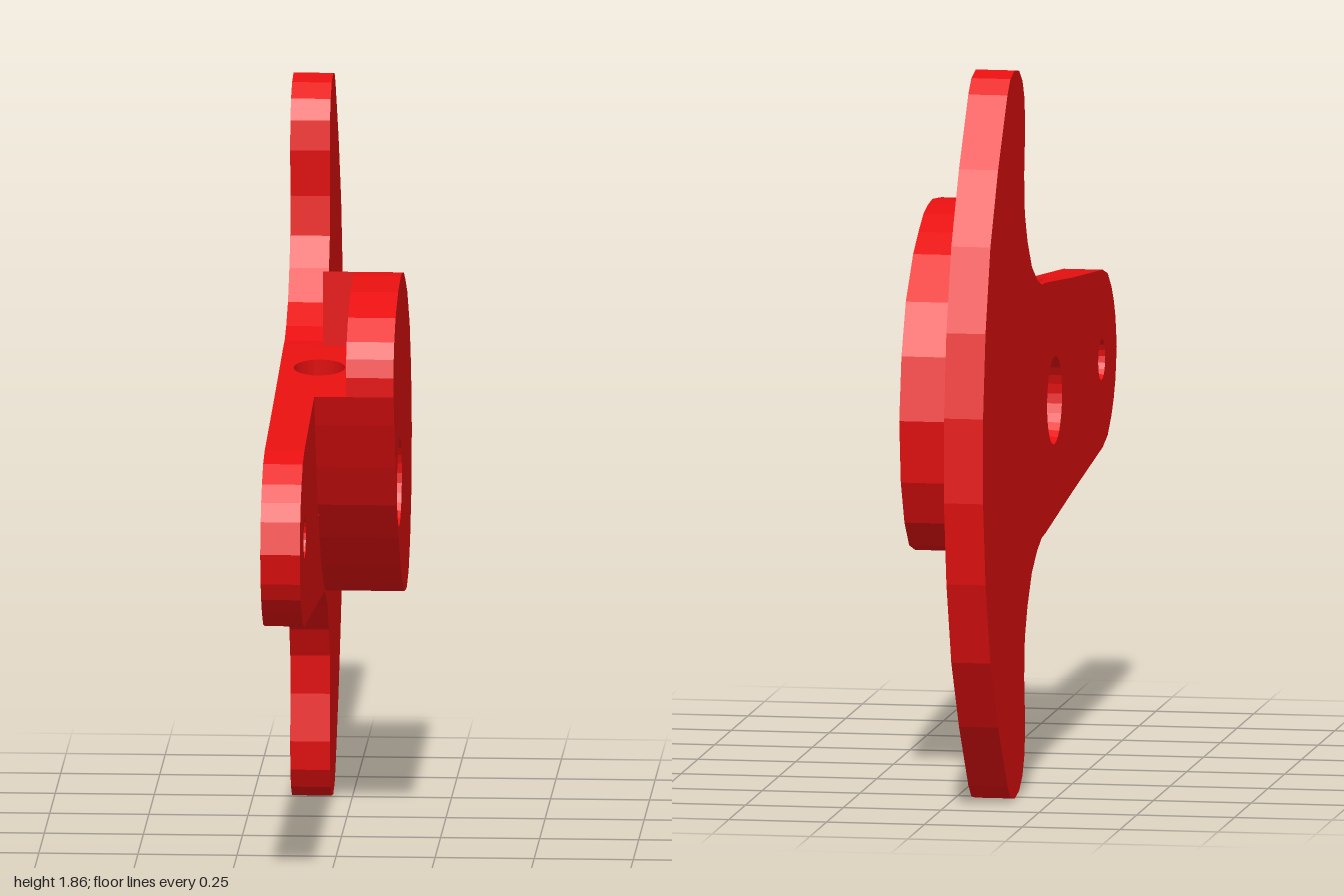
import * as THREE from 'three';
import { mergeGeometries } from 'three/addons/utils/BufferGeometryUtils.js';

const MID = 0.9275;                        // height of the symmetry line
const PLATE_BACK = -0.15, PLATE_FRONT = -0.05, NOTCH_FRONT = 0.03, CAM_FRONT = 0.15;
const BORE_R = 0.112, SCREW_R = 0.065;

// Profiles are given as (z, y); they are drawn at (-z, y) and turned to face +x at the end.
const P = (z, y) => new THREE.Vector2(-z, y);
const floorA = P(0.34, 1.2), floorB = P(-0.07, 1.247);   // ends of the flat under the notch
const bore = P(0.07, MID), pin = P(0.775, MID);

const ccw = pts => (THREE.ShapeUtils.isClockWise(pts) ? pts.slice().reverse() : pts);

function circle(c, r, n = 28) {
  return Array.from({ length: n }, (_, i) => {
    const a = (i / n) * Math.PI * 2;
    return new THREE.Vector2(c.x + r * Math.cos(a), c.y + r * Math.sin(a));
  });
}

// Flat face of a profile at depth x, facing +x (dir 1) or -x (dir -1)
function cap(outline, holes, x, dir) {
  const shape = new THREE.Shape(outline);
  shape.holes = holes.map(h => new THREE.Path(h));
  const g = new THREE.ShapeGeometry(shape).toNonIndexed();
  if (dir < 0) {
    const p = g.attributes.position;
    for (let i = 0; i < p.count; i += 3) {
      const a = [p.getX(i), p.getY(i)];
      p.setXY(i, p.getX(i + 1), p.getY(i + 1));
      p.setXY(i + 1, ...a);
    }
  }
  g.translate(0, 0, x);
  return g;
}

// Side walls of a profile; the notch floor edge is left open
function walls(outline, x0, x1, inward = false) {
  const pts = ccw(outline), pos = [];
  pts.forEach((p, i) => {
    let q = pts[(i + 1) % pts.length], a = p;
    if ((a === floorA && q === floorB) || (a === floorB && q === floorA)) return;
    if (inward) [a, q] = [q, a];
    pos.push(a.x, a.y, x0, q.x, q.y, x0, q.x, q.y, x1);
    pos.push(a.x, a.y, x0, q.x, q.y, x1, a.x, a.y, x1);
  });
  const g = new THREE.BufferGeometry();
  g.setAttribute('position', new THREE.Float32BufferAttribute(pos, 3));
  return g;
}

function join(parts) {
  parts.forEach(g => { g.deleteAttribute('uv'); g.deleteAttribute('normal'); });
  const g = mergeGeometries(parts);
  g.rotateY(Math.PI / 2);
  g.computeVertexNormals();
  return g;
}

export function createModel() {
  const group = new THREE.Group();
  const mat = new THREE.MeshStandardMaterial({ color: 0xe81010, flatShading: true });
  const add = (name, ...parts) => {
    const m = new THREE.Mesh(join(parts), mat);
    m.name = name;
    group.add(m);
  };

  // Lever plate: half profile as (z, distance from the symmetry line), mirrored
  const half = [
    [0.98, 0.08], [0.955, 0.125], [0.92, 0.165], [0.865, 0.206], [0.79, 0.226],
    [0.34, 0.2725], [-0.07, 0.3195], [-0.12, 0.322], [-0.19, 0.345], [-0.27, 0.39], [-0.335, 0.465],
    [-0.375, 0.54], [-0.385, 0.64], [-0.37, 0.76], [-0.38, 0.835], [-0.41, 0.885],
    [-0.46, 0.917], [-0.525, 0.9275], [-0.59, 0.915], [-0.635, 0.88], [-0.775, 0.71],
    [-0.89, 0.53], [-0.963, 0.32], [-1, 0.108],
  ];
  const upper = half.map(([z, d]) => P(z, MID + d));
  upper[5] = floorA;
  upper[6] = floorB;
  const lower = half.map(([z, d]) => P(z, MID - d)).reverse();
  const plate = [P(1, MID), ...upper, ...lower];

  // Cam lobe profile, running from the notch corner over the top and round
  const lobeTop = [[0.342, 1.25], [0.33, 1.295], [0.305, 1.335], [0.245, 1.385], [0.13, 1.428], [0, 1.443]];
  const lobeRest = [
    [-0.07, 1.438], [-0.135, 1.425], [-0.21, 1.39], [-0.29, 1.345], [-0.4, 1.24], [-0.465, 1.11],
    [-0.498, 0.95], [-0.475, 0.79], [-0.42, 0.68], [-0.35, 0.612], [-0.26, 0.587], [-0.16, 0.6],
    [-0.08, 0.64], [0.01, 0.7], [0.1, 0.79], [0.18, 0.89], [0.245, 1], [0.305, 1.12],
  ].map(p => P(...p));
  const lobe = [floorA, ...lobeTop.map(p => P(...p)), ...lobeRest];
  const notched = [floorA, floorB, ...lobeRest];

  // Directions along the notch floor and out of it
  const along = floorB.clone().sub(floorA);
  const length = along.length();
  along.normalize();
  const up = new THREE.Vector2(-along.y, along.x);
  const rel = bore.clone().sub(floorA);
  const screwAt = rel.dot(along), drop = -rel.dot(up);

  // Bore opened upward by the screw hole, for the faces where plate and lobe meet
  const t = Math.atan2(up.y, up.x), d = Math.asin(SCREW_R / BORE_R);
  const keyhole = Array.from({ length: 25 }, (_, i) => {
    const a = t + d + (i / 24) * (Math.PI * 2 - 2 * d);
    return new THREE.Vector2(bore.x + BORE_R * Math.cos(a), bore.y + BORE_R * Math.sin(a));
  });
  for (const s of [1, -1]) {
    keyhole.push(bore.clone().addScaledVector(up, drop - 0.001).addScaledVector(along, s * SCREW_R));
  }

  const boreRing = circle(bore, BORE_R), pinRing = circle(pin, 0.053, 20);
  add('leverPlate',
    cap(plate, [boreRing, pinRing], PLATE_BACK, -1),
    cap(plate, [keyhole, pinRing], PLATE_FRONT, 1),
    walls(plate, PLATE_BACK, PLATE_FRONT),
    walls(pinRing, PLATE_BACK, PLATE_FRONT, true));
  add('notchedCamBase',
    cap(notched, [keyhole], PLATE_FRONT, -1),
    walls(notched, PLATE_FRONT, NOTCH_FRONT));
  add('camLobe',
    cap(lobe, [boreRing], NOTCH_FRONT, -1),
    cap(lobe, [boreRing], CAM_FRONT, 1),
    walls(lobe, NOTCH_FRONT, CAM_FRONT));
  add('shaftBore', walls(boreRing, PLATE_BACK, CAM_FRONT, true));

  // Notch floor with the set screw hole sunk to the bore
  const toFloor = new THREE.Matrix4().makeBasis(
    new THREE.Vector3(along.x, along.y, 0),
    new THREE.Vector3(0, 0, -1),
    new THREE.Vector3(up.x, up.y, 0)).setPosition(floorA.x, floorA.y, 0);
  const rect = [[0, -NOTCH_FRONT], [length, -NOTCH_FRONT], [length, -PLATE_BACK], [0, -PLATE_BACK]]
    .map(p => new THREE.Vector2(...p));
  const screwRing = circle(new THREE.Vector2(screwAt, -PLATE_FRONT), SCREW_R, 24);
  add('notchFloor', cap(rect, [screwRing], 0, 1).applyMatrix4(toFloor));
  add('setScrewHole', walls(screwRing, -0.205, 0, true).applyMatrix4(toFloor));

  return group;
}
